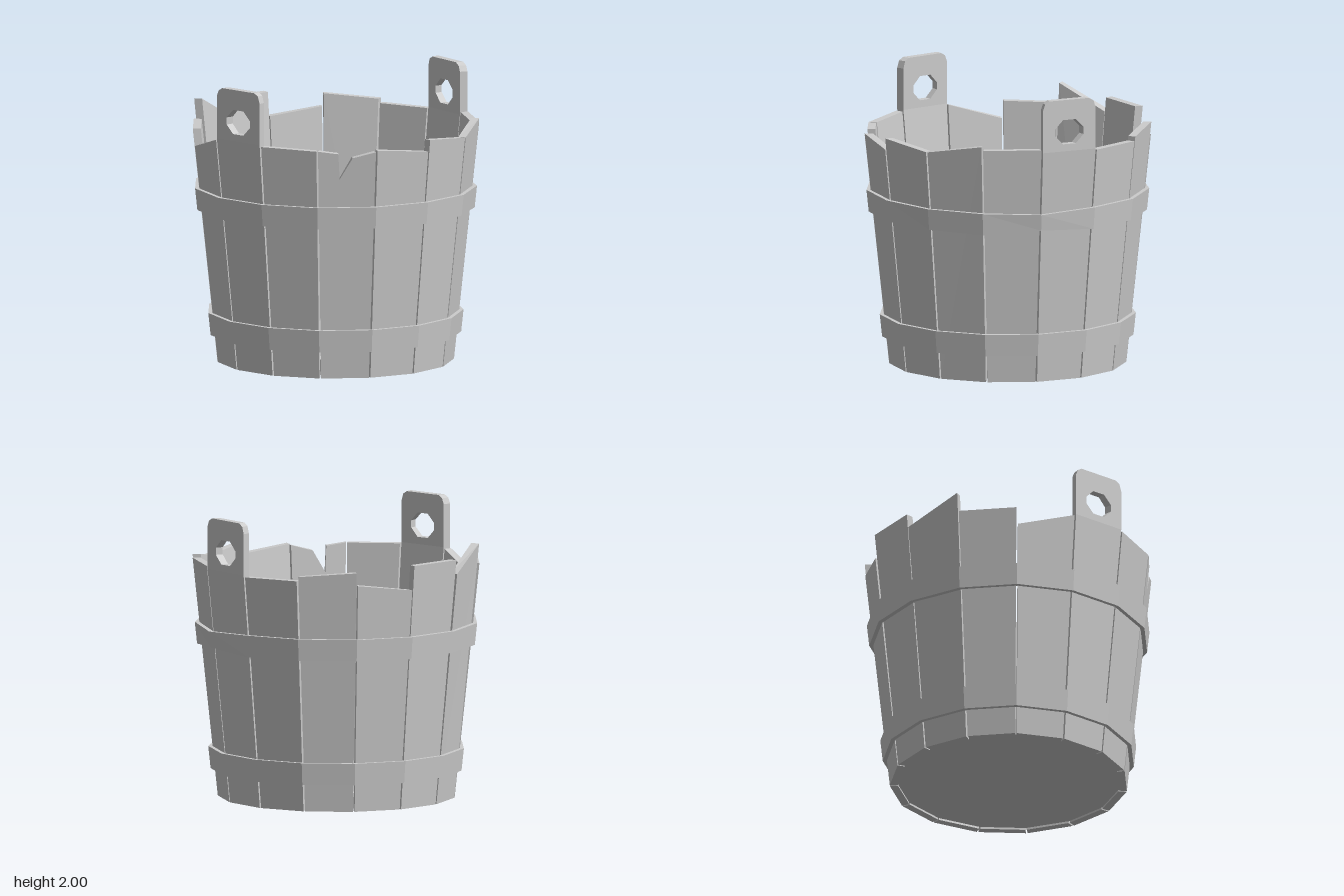
import * as THREE from 'three';

const SIDES = 15, STEP = (Math.PI * 2) / SIDES, HALF = STEP / 2;
const THICK = 0.055, GAP = 0.006, BEND = 1.64;

// Corner radius of the flared bucket; it runs straight up above the bend
const radiusAt = (y) => 0.825 + 0.106 * Math.min(y, BEND);

// Flat board outline (s from -1 to 1 across, y up) wrapped onto one side of the bucket
function boardGeometry(outline, hole) {
  const shape = new THREE.Shape(outline.map(([s, y]) => new THREE.Vector2(s, y)));
  if (hole) shape.holes.push(new THREE.Path(hole.map(([s, y]) => new THREE.Vector2(s, y))));
  const geo = new THREE.ExtrudeGeometry(shape, { depth: THICK, bevelEnabled: false });
  const p = geo.attributes.position;
  for (let i = 0; i < p.count; i++) {
    const y = p.getY(i);
    const r = radiusAt(y) * Math.cos(HALF) - THICK + p.getZ(i);
    p.setXYZ(i, p.getX(i) * (r * Math.tan(HALF) - GAP), y, r);
  }
  geo.computeVertexNormals();
  return geo;
}

export function createModel() {
  const bucket = new THREE.Group();
  bucket.name = 'bucket';
  const mat = new THREE.MeshStandardMaterial({ color: 0xcccccc, flatShading: true });

  const add = (name, geo, angle = 0) => {
    const mesh = new THREE.Mesh(geo, mat);
    mesh.name = name;
    mesh.rotation.y = angle;
    bucket.add(mesh);
    return mesh;
  };

  // Top edge of each stave, counted from the front towards +x
  const level = (a, b) => [[1, b], [-1, a]];
  const tops = [
    level(1.66, 1.62), level(1.62, 1.685), level(1.66, 1.66), level(BEND, BEND),
    level(1.63, 1.63), level(1.66, 1.69), level(1.55 + 0.05, 1.55), level(1.72, 1.72),
    level(1.62, 1.78), level(1.64, 1.64), level(1.52, 1.63), level(BEND, BEND),
    level(1.63, 1.62),
    [[1, 1.61], [0.2, 1.57], [-0.25, 1.42], [-0.3, 1.6], [-1, 1.62]], // splintered stave
    level(1.62, 1.58),
  ];
  tops.forEach((top, i) => {
    add('stave', boardGeometry([[-1, 0], [1, 0], ...top]), (i + 0.5) * STEP);
  });

  // Upright ears with an octagonal hole
  const ear = [[-1, BEND], [1, BEND], [1, 1.93], [0.92, 1.98], [0.75, 2],
    [-0.75, 2], [-0.92, 1.98], [-1, 1.94]];
  const hole = [];
  for (let k = 0; k < 8; k++) {
    const [s, y] = [[0.54, 0.025], [0.24, 0.085], [-0.24, 0.085], [-0.54, 0.025],
      [-0.54, -0.025], [-0.24, -0.085], [0.24, -0.085], [0.54, -0.025]][k];
    hole.push([s, 1.775 + y]);
  }
  for (const i of [3, 11]) add('handleEar', boardGeometry(ear, hole), (i + 0.5) * STEP);

  // Hoops following the flare, with optional small dents at some corners
  function hoop(name, y0, y1, dents = {}) {
    const out = 0.028, inn = -0.005;
    const profile = [[out, y0], [out, y1], [inn, y1], [inn, y0], [out, y0]]
      .map(([o, y]) => new THREE.Vector2(radiusAt(y) + o, y));
    const geo = new THREE.LatheGeometry(profile, SIDES);
    const p = geo.attributes.position;
    for (const [corner, [low, high]] of Object.entries(dents)) {
      for (let j = 0; j < 5; j++) {
        const n = corner * 5 + j;
        p.setY(n, p.getY(n) + (j === 1 || j === 2 ? high : low));
      }
    }
    geo.computeVertexNormals();
    add(name, geo);
  }
  hoop('lowerHoop', 0.19, 0.345);
  hoop('upperHoop', 1.07, 1.222, { 1: [0, -0.005], 2: [-0.01, -0.01], 3: [0.02, -0.02] });

  // Floor board
  add('floor', new THREE.CylinderGeometry(0.785, 0.772, 0.11, SIDES)).position.y = 0.07;

  return bucket;
}
